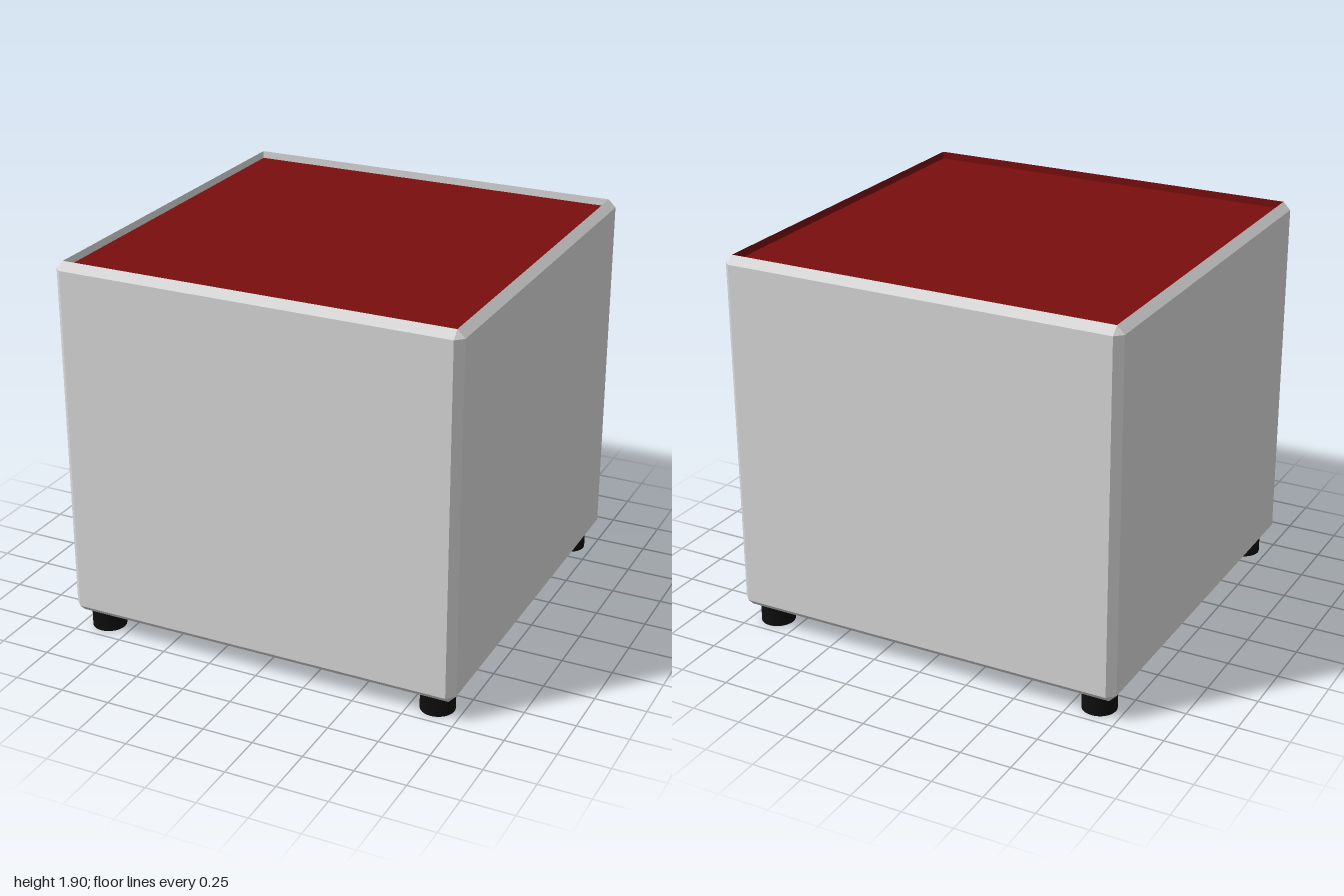
import * as THREE from 'three';

const BEVEL = 0.037, INNER = 1 - BEVEL, BOTTOM = 0.1, TOP = 1.9, SEAT = TOP - BEVEL;

const grey = new THREE.MeshStandardMaterial({ name: 'light grey', color: 0xd8d8d8 });
const red = new THREE.MeshStandardMaterial({ name: 'dark red', color: 0x790e0e });
const black = new THREE.MeshStandardMaterial({ name: 'black', color: 0x0e0e0e });

// Eight-point ring of a square with cut corners, counter-clockwise seen from +z toward +x
function ring(y, outer) {
  const points = [];
  for (let i = 0; i < 4; i++) {
    for (const [x, z] of [[-INNER, outer], [INNER, outer]]) {
      points.push(new THREE.Vector3(x, y, z).applyAxisAngle(new THREE.Vector3(0, 1, 0), i * Math.PI / 2));
    }
  }
  return points;
}

// Bevelled shell with an open top
function shellGeometry() {
  const rings = [ring(BOTTOM, INNER), ring(BOTTOM + BEVEL, 1), ring(SEAT, 1), ring(TOP, INNER)];
  const coords = [];
  const tri = (a, b, c) => {
    const area = b.clone().sub(a).cross(c.clone().sub(a)).length();
    if (area > 1e-6) for (const p of [a, b, c]) coords.push(p.x, p.y, p.z);
  };
  for (let r = 0; r < 3; r++) {
    for (let i = 0; i < 8; i++) {
      const j = (i + 1) % 8;
      const [a, b, c, d] = [rings[r][i], rings[r][j], rings[r + 1][j], rings[r + 1][i]];
      tri(a, b, c);
      tri(a, c, d);
    }
  }
  const base = rings[0];
  tri(base[0], base[4], base[2]);
  tri(base[0], base[6], base[4]);
  const geometry = new THREE.BufferGeometry();
  geometry.setAttribute('position', new THREE.Float32BufferAttribute(coords, 3));
  geometry.computeVertexNormals();
  return geometry;
}

export function createModel() {
  const model = new THREE.Group();
  model.name = 'footstool';
  const add = (name, geometry, material) => {
    const mesh = new THREE.Mesh(geometry, material);
    mesh.name = name;
    model.add(mesh);
    return mesh;
  };

  add('body', shellGeometry(), grey);

  // Sunken seat panel
  add('seat', new THREE.PlaneGeometry(2 * INNER, 2 * INNER).rotateX(-Math.PI / 2), red).position.y = SEAT;

  // Inner sides of the rim: grey at back and right, red at front and left
  const walls = [['backRim', 0, grey], ['rightRim', 1, grey], ['frontRim', 2, red], ['leftRim', 3, red]];
  for (const [name, turn, material] of walls) {
    const wall = new THREE.PlaneGeometry(2 * INNER, BEVEL).translate(0, (SEAT + TOP) / 2, -INNER);
    add(name, wall.rotateY(turn * Math.PI / 2), material);
  }

  // Round feet
  for (const x of [-1, 1]) {
    for (const z of [-1, 1]) {
      const name = (z > 0 ? 'front' : 'back') + (x > 0 ? 'Left' : 'Right') + 'Foot';
      add(name, new THREE.CylinderGeometry(0.083, 0.083, BOTTOM, 32), black)
        .position.set(x * 0.877, BOTTOM / 2, z * 0.877);
    }
  }
  return model;
}
